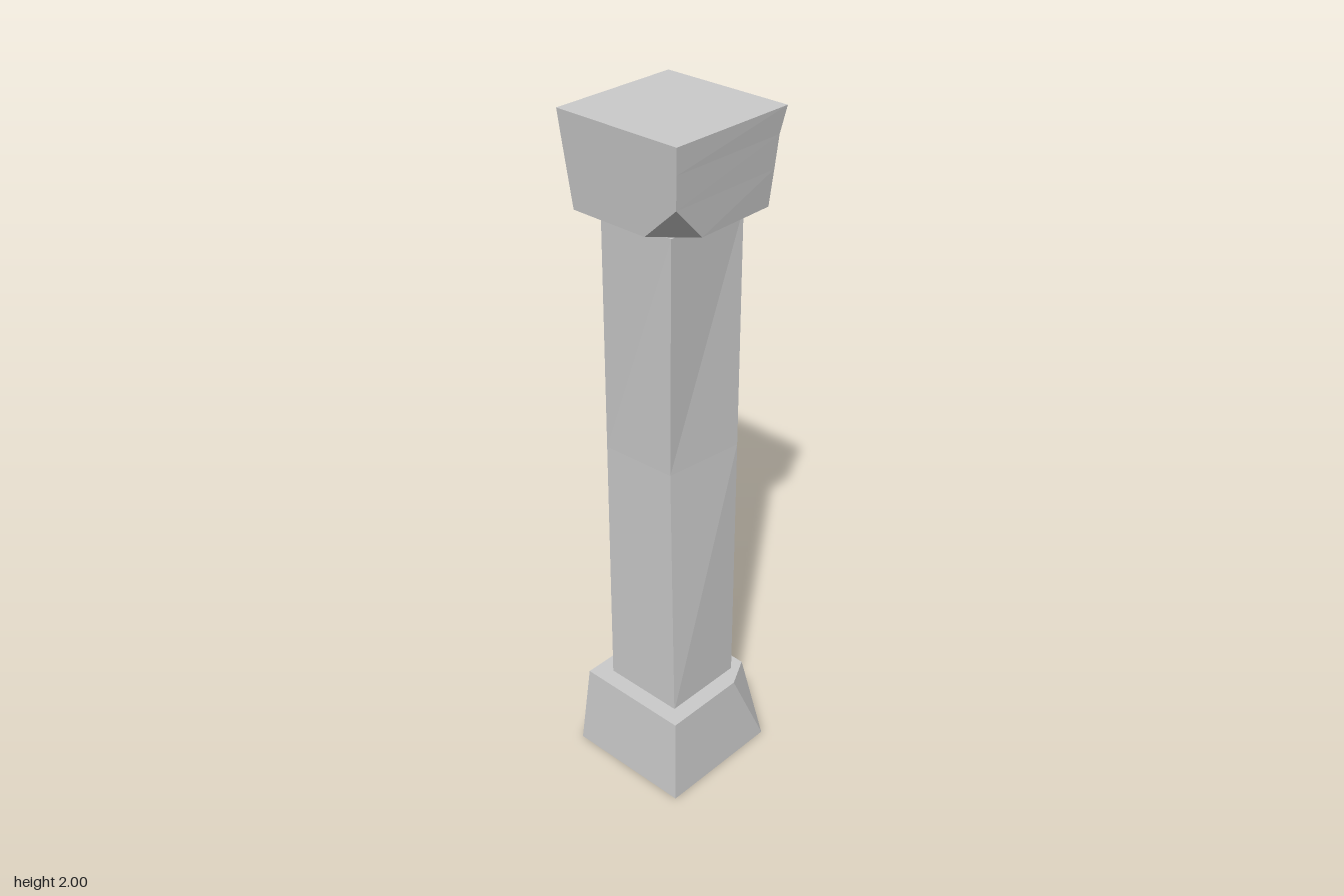
import * as THREE from 'three';

// Joins rings of [x, z] corners (counter-clockwise from above) into a closed, faceted solid.
function loft(name, rings) {
  const positions = [];
  const tri = (a, b, c) => {
    const area = new THREE.Triangle(a, b, c).getArea();
    if (area > 1e-7) for (const p of [a, b, c]) positions.push(p.x, p.y, p.z);
  };
  const loops = rings.map(([y, ...pts]) => pts.map(([x, z]) => new THREE.Vector3(x, y, z)));
  const n = loops[0].length;
  for (let k = 0; k < loops.length - 1; k++) {
    const lo = loops[k], up = loops[k + 1];
    for (let i = 0; i < n; i++) {
      const j = (i + 1) % n;
      tri(lo[i], lo[j], up[j]);
      tri(lo[i], up[j], up[i]);
    }
  }
  const bottom = loops[0], top = loops[loops.length - 1];
  for (let i = 1; i < n - 1; i++) {
    tri(bottom[0], bottom[i + 1], bottom[i]);
    tri(top[0], top[i], top[i + 1]);
  }
  const geometry = new THREE.BufferGeometry();
  geometry.setAttribute('position', new THREE.Float32BufferAttribute(positions, 3));
  geometry.computeVertexNormals();
  const mesh = new THREE.Mesh(geometry, new THREE.MeshStandardMaterial({ color: 0xcccccc, flatShading: true }));
  mesh.name = name;
  return mesh;
}

export function createModel() {
  const group = new THREE.Group();
  group.name = 'column';

  // Flared base block with a chipped front corner on the +x side
  const b = 0.195, t = 0.175;
  group.add(loft('base', [
    [0, [-b, -b], [-b, b], [b, b], [b, b], [b, -b]],
    [0.26, [-t, -t], [-t, t], [0.08, t], [0.168, 0.13], [t, -t]],
  ]));

  // Square shaft, its front edge on the -x side worn inward at mid height
  const s = 0.125;
  const shaftRing = (y, x, z) => [y, [-s, -s], [x, z], [s, s], [s, -s]];
  group.add(loft('shaft', [
    shaftRing(0.25, -s, s),
    shaftRing(1.05, -0.115, 0.1),
    shaftRing(1.74, -0.138, s),
  ]));

  // Capital, broken at its lower front corner on the -x side and worn on the +x side
  const capitalRing = (y, h, frontRight, chipSide = [-h, h], chipFront = [-h, h]) =>
    [y, [-h, -h], chipSide, chipFront, frontRight, [h, -h]];
  group.add(loft('capital', [
    capitalRing(1.74, 0.172, [0.17, 0.167], [-0.172, 0.07], [-0.08, 0.172]),
    capitalRing(1.84, 0.181, [0.174, 0.178]),
    capitalRing(1.93, 0.189, [0.178, 0.187]),
    capitalRing(2, b, [b, b]),
  ]));

  return group;
}
